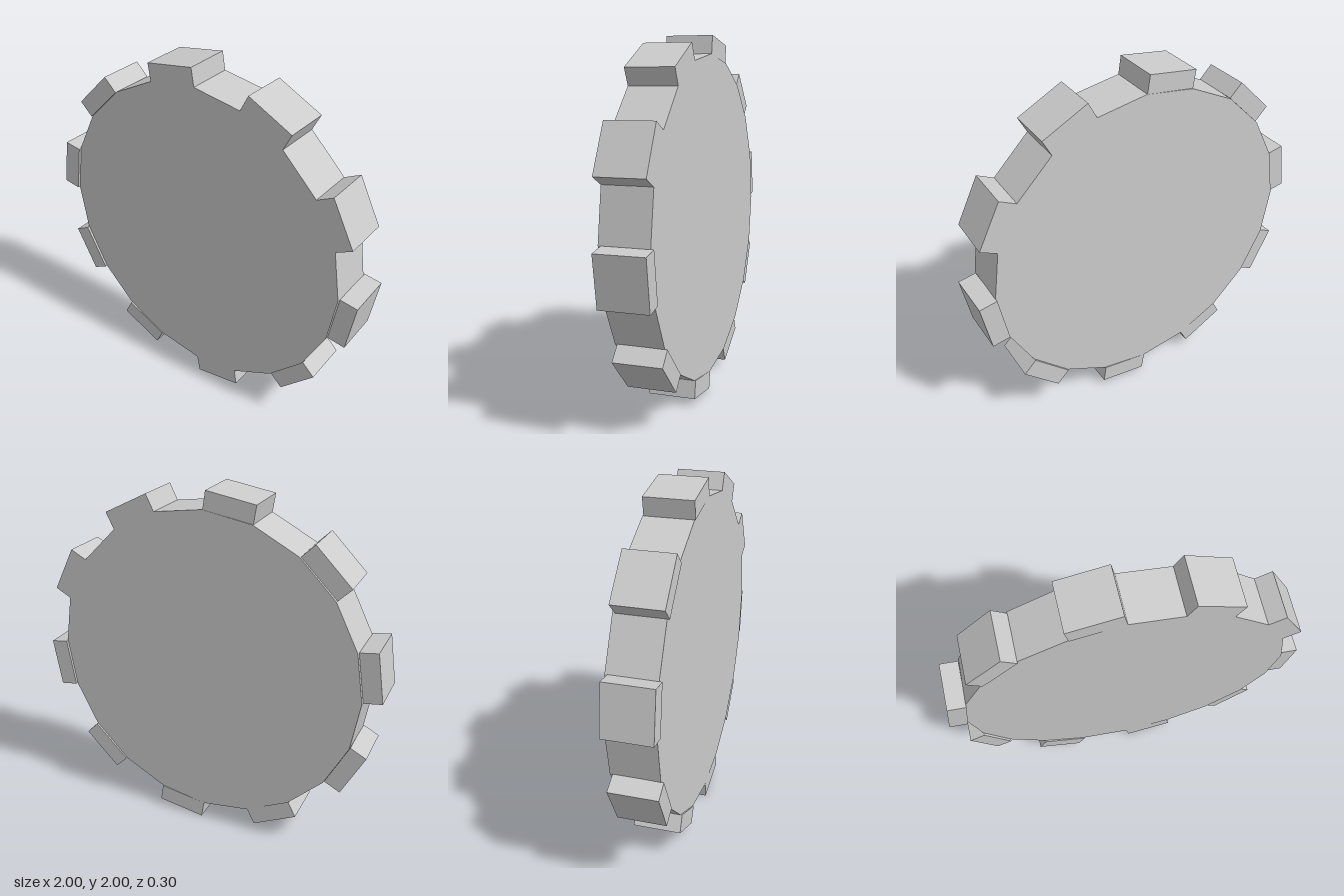
import * as THREE from 'three';

export function createModel() {
  const model = new THREE.Group();
  const material = new THREE.MeshStandardMaterial({ color: 0xcccccc, flatShading: true });

  const sides = 20, radius = 0.9, depth = 0.264;
  const apothem = radius * Math.cos(Math.PI / sides);
  const toothHeight = 0.101, toothWidth = 0.28;

  // Twenty-sided disc with corners on the x and y axes
  const discGeometry = new THREE.CylinderGeometry(radius, radius, depth, sides);
  discGeometry.rotateX(Math.PI / 2);
  const disc = new THREE.Mesh(discGeometry, material);
  disc.name = 'disc';
  disc.position.y = 1;
  model.add(disc);

  // Teeth sit on every second side; most share a ring tilted by one degree
  const straightTeeth = new THREE.Group();
  straightTeeth.name = 'straightTeeth';
  const tiltedTeeth = new THREE.Group();
  tiltedTeeth.name = 'tiltedTeeth';
  tiltedTeeth.rotation.y = THREE.MathUtils.degToRad(1);
  const toothGeometry = new THREE.BoxGeometry(toothHeight, toothWidth, depth);
  toothGeometry.translate(apothem + toothHeight / 2, 0, 0);
  for (let i = 0; i < sides / 2; i++) {
    const tooth = new THREE.Mesh(toothGeometry, material);
    tooth.name = `tooth${i + 1}`;
    tooth.rotation.z = THREE.MathUtils.degToRad(27 + 36 * i);
    (i < 2 ? straightTeeth : tiltedTeeth).add(tooth);
  }
  for (const ring of [straightTeeth, tiltedTeeth]) {
    ring.position.y = 1;
    model.add(ring);
  }
  return model;
}
